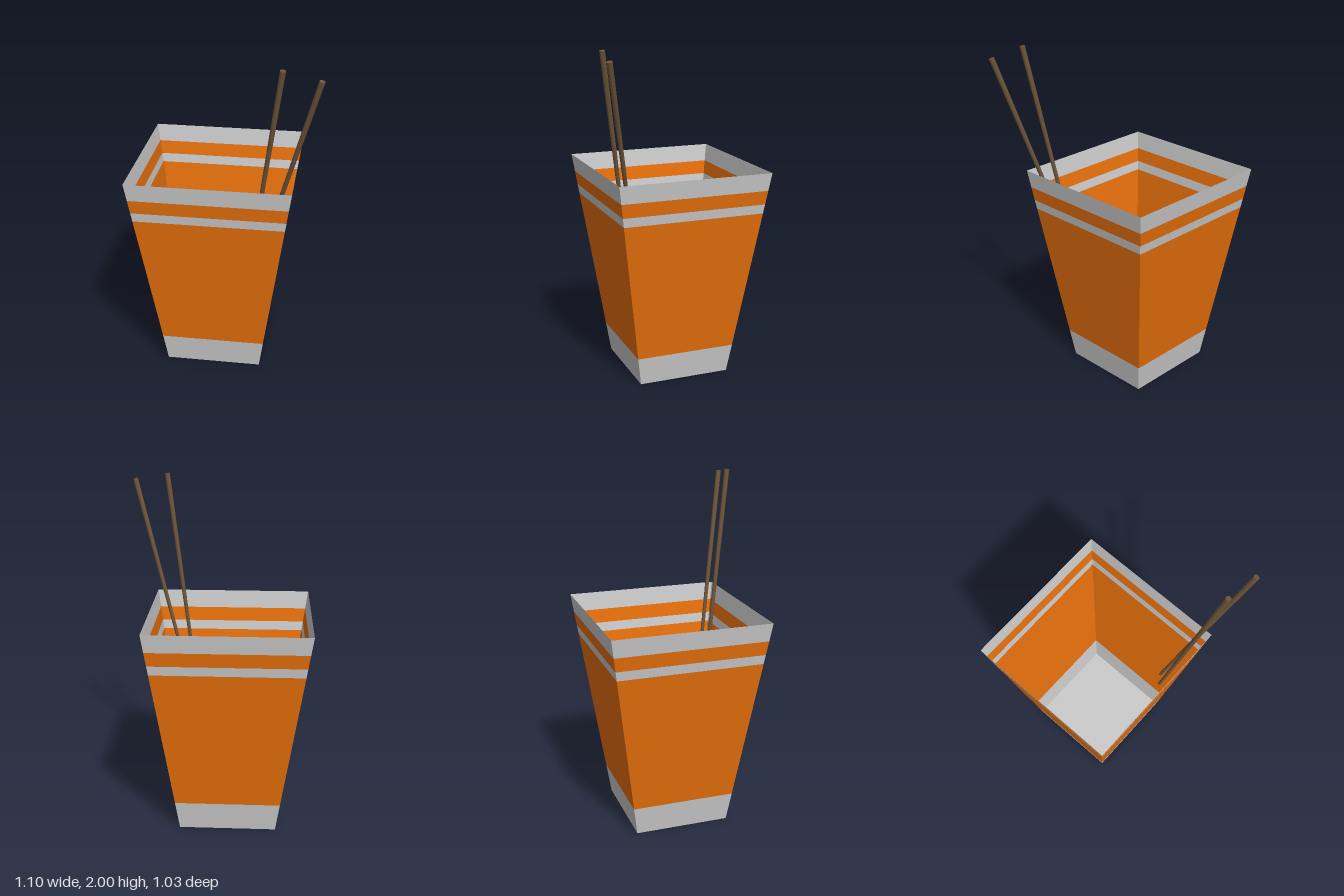
import * as THREE from 'three';

const HEIGHT = 1.275, BASE = 0.28, RIM = 0.463; // half widths along z

const paint = (color) => new THREE.MeshStandardMaterial({ color, side: THREE.DoubleSide, flatShading: true });

// Half width of the tapered box at height y
const halfWidth = (y) => BASE + (RIM - BASE) * (y / HEIGHT);

// Four-sided open band of the tapered wall between two heights
function wallBand(name, y0, y1, material) {
  const s = Math.SQRT2;
  let geometry = new THREE.CylinderGeometry(halfWidth(y1) * s, halfWidth(y0) * s, y1 - y0, 4, 1, true);
  geometry.rotateY(Math.PI / 4);
  geometry.translate(0, (y0 + y1) / 2, 0);
  geometry = geometry.toNonIndexed();
  geometry.computeVertexNormals();
  const mesh = new THREE.Mesh(geometry, material);
  mesh.name = name;
  return mesh;
}

// Slim tapered stick from its tip to its thick end
function chopstick(name, tip, end, material) {
  const a = new THREE.Vector3(...tip), b = new THREE.Vector3(...end);
  const dir = b.clone().sub(a);
  const mesh = new THREE.Mesh(new THREE.CylinderGeometry(0.016, 0.009, dir.length(), 12), material);
  mesh.position.copy(a).add(b).multiplyScalar(0.5);
  mesh.quaternion.setFromUnitVectors(new THREE.Vector3(0, 1, 0), dir.normalize());
  mesh.name = name;
  return mesh;
}

export function createModel() {
  const model = new THREE.Group();
  model.name = 'takeawayBox';
  const grey = paint(0xcccccc), orange = paint(0xe8700c);
  const wood = new THREE.MeshStandardMaterial({ color: 0x6b5338 });

  // Thin-walled box, open at the top, slightly wider along x
  const box = new THREE.Group();
  box.name = 'box';
  box.position.set(-0.079, 0, -0.053);
  box.scale.x = 1.02;
  const bands = [
    ['baseBand', 0, 0.175, grey],
    ['mainWall', 0.175, 1.03, orange],
    ['stripe', 1.03, 1.085, grey],
    ['upperWall', 1.085, 1.168, orange],
    ['rimBand', 1.168, HEIGHT, grey],
  ];
  for (const band of bands) box.add(wallBand(...band));

  const floor = new THREE.Mesh(new THREE.PlaneGeometry(BASE * 2, BASE * 2).rotateX(-Math.PI / 2), grey);
  floor.name = 'floor';
  box.add(floor);
  model.add(box);

  // Pair of chopsticks leaning on the front left corner
  model.add(
    chopstick('innerChopstick', [0.14, 0.68, 0.27], [0.332, 1.998, 0.475], wood),
    chopstick('outerChopstick', [0.183, 0.71, 0.24], [0.533, 1.96, 0.5], wood)
  );
  return model;
}
